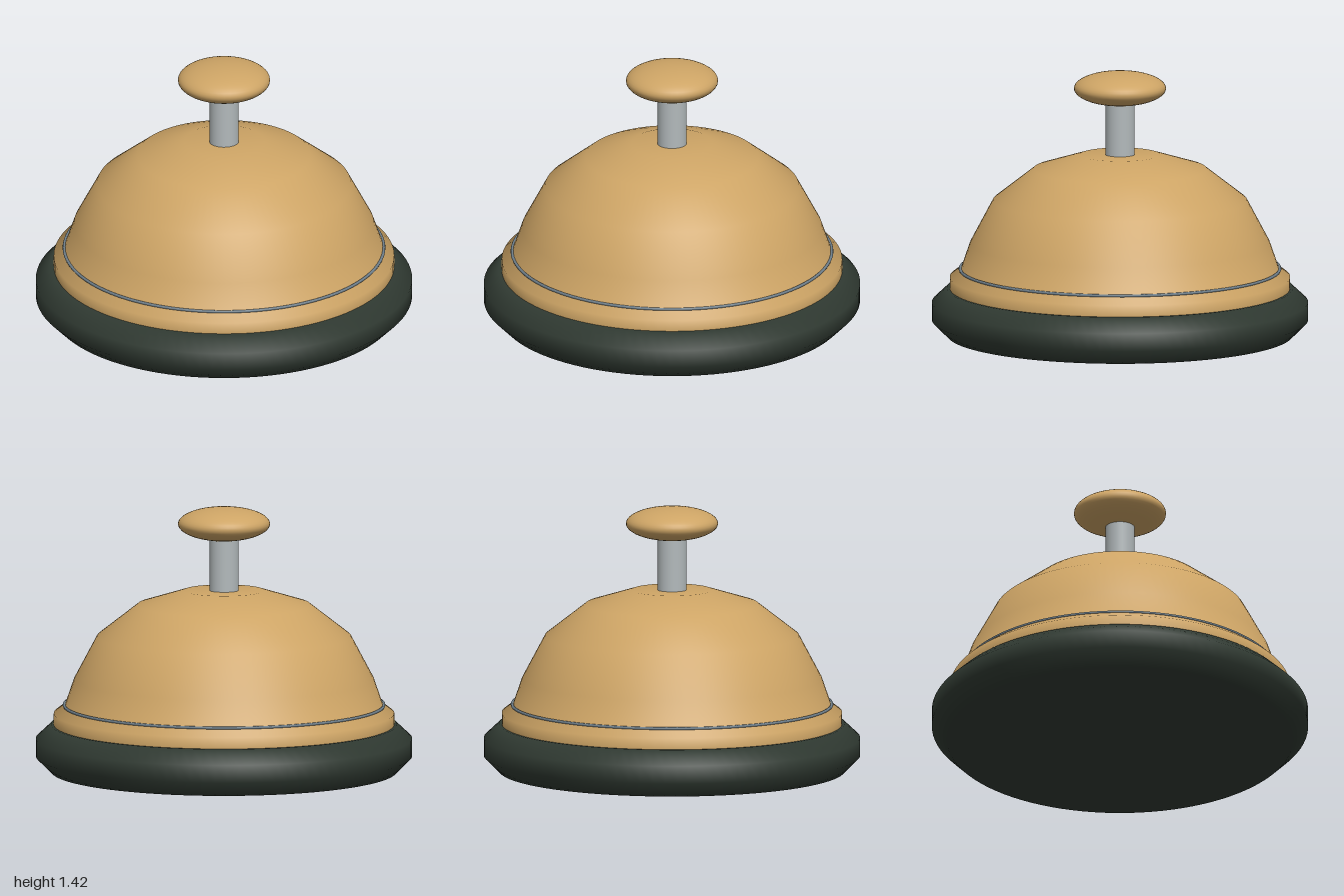
import * as THREE from 'three';

const material = (name, color) => {
  const m = new THREE.MeshStandardMaterial({ color });
  m.name = name;
  return m;
};

export function createModel() {
  const group = new THREE.Group();
  const brass = material('brass', 0xcda465);
  const darkGreen = material('dark green', 0x303a32);
  const steel = material('steel', 0xb2b9bb);
  const slate = material('slate trim', 0x71818c);

  const add = (name, geometry, mat, y = 0) => {
    const mesh = new THREE.Mesh(geometry, mat);
    mesh.name = name;
    mesh.position.y = y;
    group.add(mesh);
    return mesh;
  };
  const lathe = (points) =>
    new THREE.LatheGeometry(points.map(([r, y]) => new THREE.Vector2(r, y)), 96);

  // Bevelled round foot
  add('base', lathe([[0, 0], [0.92, 0], [1, 0.08], [1, 0.175], [0.92, 0.25], [0, 0.25]]), darkGreen);

  // Flared lip and faceted dome profile
  add('bell', lathe([
    [0.905, 0.245], [0.905, 0.31], [0.845, 0.355], [0.797, 0.495],
    [0.675, 0.725], [0.46, 0.893], [0.215, 0.97], [0, 0.97],
  ]), brass);

  // Thin trim line where the dome meets the lip
  const trim = new THREE.TorusGeometry(0.85, 0.008, 8, 96).rotateX(Math.PI / 2);
  add('trimRing', trim, slate, 0.354);

  // Plunger stem and flattened button
  add('stem', new THREE.CylinderGeometry(0.078, 0.078, 0.32, 32), steel, 1.12);
  add('button', new THREE.SphereGeometry(0.245, 48, 24).scale(1, 0.36, 1), brass, 1.327);

  return group;
}
